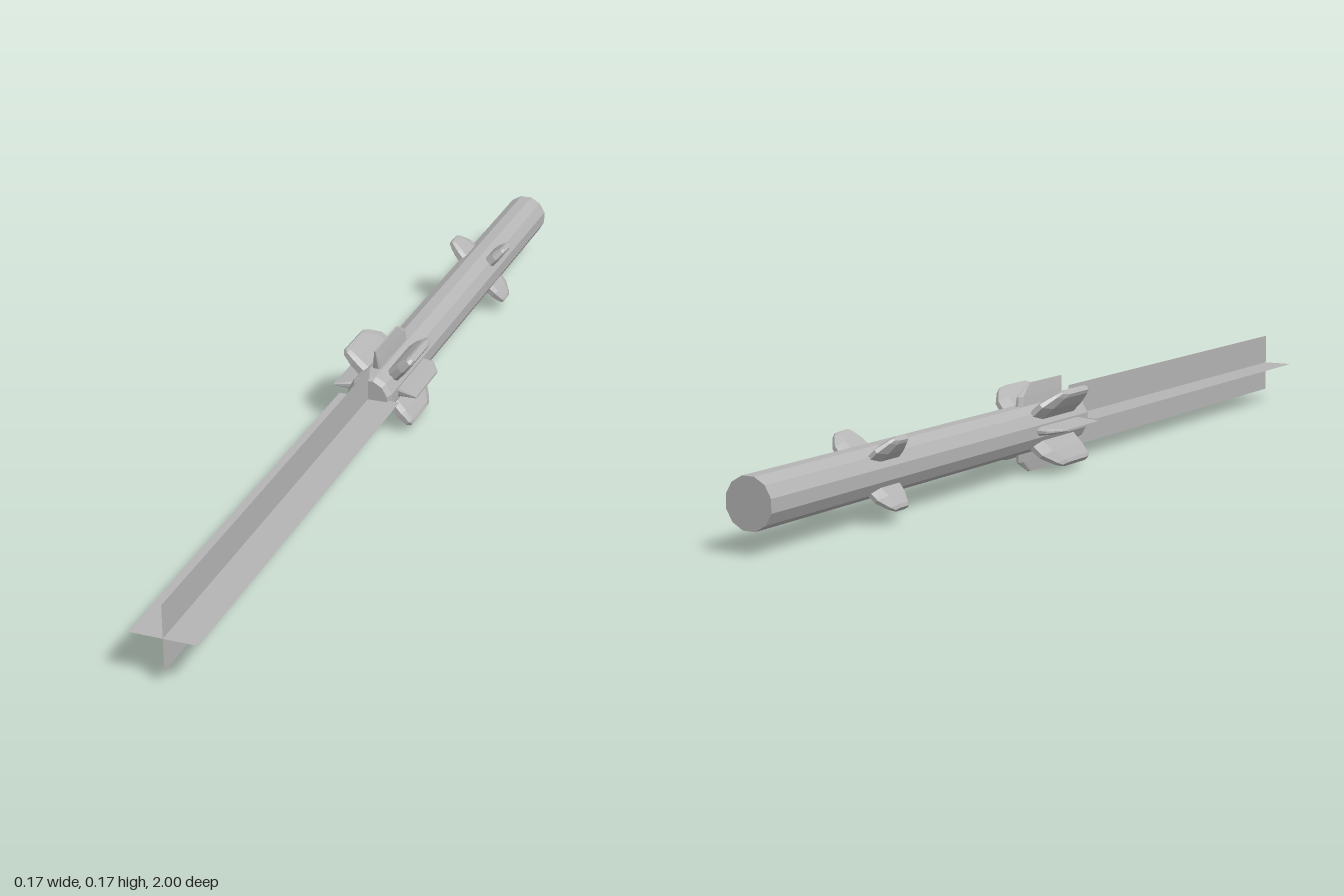
import * as THREE from 'three';
import { ConvexGeometry } from 'three/addons/geometries/ConvexGeometry.js';

const grey = new THREE.MeshStandardMaterial({ color: 0xb4b4b4 });
grey.name = 'bare metal grey';
grey.flatShading = true;
const plume = new THREE.MeshStandardMaterial({ color: 0xb4b4b4, side: THREE.DoubleSide });
plume.name = 'exhaust grey';

const AXIS = 0.087;

// Fin hull growing along +x; each section is [radius, zBack, zFront, halfThickness, taper]
function finGeometry(sections) {
  const points = [];
  for (const [r, z0, z1, t, taper] of sections) {
    for (const s of [-1, 1]) {
      points.push(new THREE.Vector3(r, s * t, z0 + taper));
      points.push(new THREE.Vector3(r, s * t, z1 - taper * 0.4));
      points.push(new THREE.Vector3(r, s * t * 0.35, z0));
      points.push(new THREE.Vector3(r, s * t * 0.5, z1));
    }
  }
  return new ConvexGeometry(points);
}

// Four copies of a fin around the body
function finSet(name, geometry, startAngle) {
  const set = new THREE.Group();
  set.name = name;
  for (let i = 0; i < 4; i++) {
    const fin = new THREE.Mesh(geometry, grey);
    fin.name = name + 'Blade';
    fin.rotation.z = startAngle + i * Math.PI / 2;
    set.add(fin);
  }
  return set;
}

export function createModel() {
  const model = new THREE.Group();
  model.name = 'missile';
  const core = new THREE.Group();
  core.name = 'missileCore';
  core.position.y = AXIS;
  model.add(core);

  // Faceted tube with a chamfered nozzle end
  const profile = [[0, -1], [0.047, -1], [0.047, 0.045], [0.041, 0.058], [0, 0.058]]
    .map(([r, z]) => new THREE.Vector2(r, z));
  const bodyGeometry = new THREE.LatheGeometry(profile, 12, Math.PI / 12);
  bodyGeometry.rotateX(Math.PI / 2);
  const body = new THREE.Mesh(bodyGeometry, grey);
  body.name = 'body';
  core.add(body);

  // Thin wedge fins on the axes, swept on the leading edge
  core.add(finSet('straightFin', finGeometry([
    [0.035, -0.155, 0.008, 0.01, 0.012],
    [0.064, -0.15, 0.012, 0.006, 0.012],
    [0.087, -0.11, 0.02, 0.002, 0.006],
  ]), 0));

  // Thick rounded fins on the diagonals
  core.add(finSet('diagonalFin', finGeometry([
    [0.035, -0.155, 0.01, 0.014, 0.03],
    [0.07, -0.145, 0.012, 0.0125, 0.03],
    [0.093, -0.115, 0.008, 0.009, 0.025],
    [0.1, -0.1, 0.0, 0.006, 0.02],
  ]), Math.PI / 4));

  // Small control fins near the far end
  core.add(finSet('controlFin', finGeometry([
    [0.035, -0.705, -0.61, 0.012, 0.025],
    [0.062, -0.7, -0.615, 0.011, 0.025],
    [0.082, -0.68, -0.625, 0.008, 0.018],
    [0.088, -0.67, -0.63, 0.005, 0.012],
  ]), Math.PI / 4));

  // Crossed exhaust sheets
  for (const [name, angle] of [['exhaustFlat', 0], ['exhaustUpright', Math.PI / 2]]) {
    const sheet = new THREE.PlaneGeometry(0.126, 0.95);
    sheet.rotateX(-Math.PI / 2);
    sheet.translate(0, 0, 0.525);
    const mesh = new THREE.Mesh(sheet, plume);
    mesh.name = name;
    mesh.rotation.z = angle;
    core.add(mesh);
  }
  return model;
}
